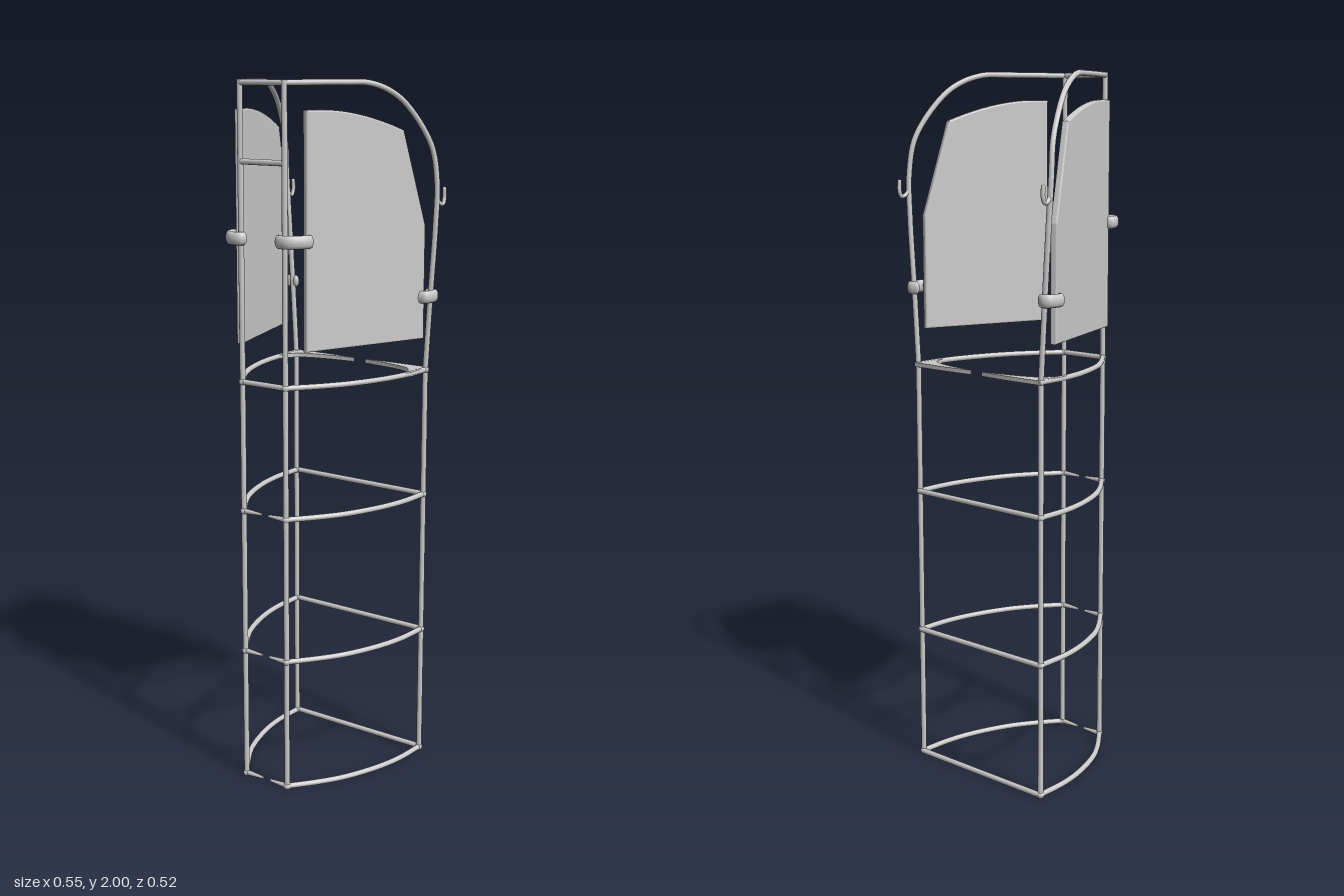
import * as THREE from 'three';

const R = 0.008;
const mat = new THREE.MeshStandardMaterial({ color: 0xcccccc });

export function createModel() {
  const model = new THREE.Group();
  model.name = 'wireStand';

  const add = (name, geometry, parent = model) => {
    const mesh = new THREE.Mesh(geometry, mat);
    mesh.name = name;
    parent.add(mesh);
    return mesh;
  };
  const vecs = (pts) => pts.map((p) => new THREE.Vector3(...p));

  // Smooth bent rod with rounded ends
  const rod = (name, pts, r = R, segments = 40) => {
    const group = new THREE.Group();
    group.name = name;
    const v = vecs(pts);
    add(name + 'Bar', new THREE.TubeGeometry(new THREE.CatmullRomCurve3(v), segments, r, 12), group);
    for (const end of [v[0], v[v.length - 1]]) {
      add(name + 'End', new THREE.SphereGeometry(r, 12, 8), group).position.copy(end);
    }
    model.add(group);
    return group;
  };

  // Straight bar, optionally tapered towards b
  const bar = (name, a, b, ra = R, rb = ra) => {
    const [p, q] = vecs([a, b]);
    const d = q.clone().sub(p);
    const mesh = add(name, new THREE.CylinderGeometry(rb, ra, d.length(), 12));
    mesh.position.copy(p).addScaledVector(d, 0.5);
    mesh.quaternion.setFromUnitVectors(new THREE.Vector3(0, 1, 0), d.normalize());
    return mesh;
  };

  const levels = [R, 0.39, 0.81, 1.182];
  const topLevel = levels[3];

  for (const s of [1, -1]) {
    const side = s > 0 ? 'left' : 'right';

    // Front upright
    bar(side + 'FrontUpright', [s * 0.075, 0, 0.23], [s * 0.075, 2, 0.23]);

    // Rear upright, leaning out and bending over into the top rail
    bar(side + 'RearUpright', [s * 0.234, 0, -0.222], [s * 0.234, topLevel, -0.222]);
    rod(side + 'TopHoop', [
      [0.234, topLevel, -0.222], [0.247, 1.4, -0.222], [0.26, 1.6, -0.222], [0.265, 1.72, -0.218],
      [0.256, 1.82, -0.2], [0.224, 1.93, -0.125], [0.202, 1.97, -0.07], [0.176, 1.99, -0.01],
      [0.15, 1.992, 0.053], [0.075, 1.992, 0.23],
    ].map(([x, y, z]) => [s * x, y, z]), R, 90);

    // Bowed side rails, one per level
    for (const y of levels) {
      rod(side + 'SideRail', [
        [0.234, -0.222], [0.231, -0.12], [0.214, -0.03], [0.172, 0.085], [0.127, 0.16], [0.075, 0.23],
      ].map(([x, z]) => [s * x, y, z]));

      // Small weld collars at the posts
      for (const [x, z] of [[0.234, -0.222], [0.075, 0.23]]) {
        add(side + 'Weld', new THREE.SphereGeometry(R * 1.35, 12, 8)).position.set(s * x, y, z);
      }
    }

    // Tapered front stubs that stop short of the middle
    for (const y of levels.slice(0, 3)) {
      bar(side + 'FrontStub', [s * 0.075, y, 0.23], [s * 0.014, y, 0.23], R, R * 0.5);
    }

    // Tapered corner gusset behind the highest shelf ring
    const gusset = new THREE.Shape();
    gusset.moveTo(s * 0.02, -0.228);
    gusset.quadraticCurveTo(s * 0.08, -0.235, s * 0.14, -0.235);
    gusset.lineTo(s * 0.238, -0.235);
    gusset.lineTo(s * 0.24, -0.14);
    gusset.lineTo(s * 0.233, -0.1);
    gusset.quadraticCurveTo(s * 0.222, -0.17, s * 0.19, -0.19);
    gusset.quadraticCurveTo(s * 0.15, -0.212, s * 0.02, -0.226);
    const gussetGeo = new THREE.ExtrudeGeometry(gusset, { depth: 0.012, bevelEnabled: false, curveSegments: 10 });
    gussetGeo.rotateX(Math.PI / 2);
    add(side + 'RearGusset', gussetGeo).position.y = topLevel + 0.006;

    // Flat side panel with arched top and slanted rear edge
    const front = new THREE.Vector2(0.115, 0.188);
    const rear = new THREE.Vector2(0.243, -0.18);
    const w = front.distanceTo(rear);
    const panel = new THREE.Shape();
    panel.moveTo(0, 1.285);
    panel.lineTo(w, 1.285);
    panel.lineTo(w, 1.6);
    panel.lineTo(w * 0.8, 1.86);
    panel.bezierCurveTo(w * 0.6, 1.89, w * 0.35, 1.917, 0.04, 1.917);
    panel.lineTo(0, 1.917);
    const panelGeo = new THREE.ExtrudeGeometry(panel, {
      depth: 0.01, bevelThickness: 0.005, bevelSize: 0.005, bevelSegments: 3, curveSegments: 16,
    });
    panelGeo.translate(0, 0, -0.005);
    const panelMesh = add(side + 'Panel', panelGeo);
    const angle = Math.atan2(front.y - rear.y, rear.x - front.x);
    panelMesh.rotation.y = s > 0 ? angle : Math.PI - angle;
    panelMesh.position.set(s * front.x, 0, front.y);

    // Strap clips joining the panel to the uprights
    const clip = (name, y, pts) => {
      const g = rod(name, pts.map(([x, z]) => [s * x, 0, z]), 0.009, 32);
      g.scale.y = 2;
      g.position.y = y;
    };
    clip(side + 'FrontClip', 1.58, [
      [0.118, 0.186], [0.132, 0.193], [0.13, 0.208], [0.112, 0.238], [0.092, 0.25], [0.066, 0.247], [0.06, 0.238],
    ]);
    clip(side + 'RearClip', 1.4, [
      [0.236, -0.224], [0.25, -0.229], [0.263, -0.222], [0.267, -0.198], [0.263, -0.174], [0.245, -0.168],
    ]);

    // Small upturned hook on the back
    rod(side + 'Hook', [
      [0.263, 1.675, -0.22], [0.266, 1.66, -0.232], [0.268, 1.657, -0.246], [0.268, 1.67, -0.253], [0.268, 1.698, -0.253],
    ].map(([x, y, z]) => [s * x, y, z]), 0.006, 24);
  }

  // Straight cross bars between the two sides
  for (const y of levels.slice(0, 3)) {
    bar('rearCrossBar', [-0.234, y, -0.226], [0.234, y, -0.226]);
  }
  for (const y of [topLevel, 1.785, 1.992]) {
    bar('frontCrossBar', [-0.075, y, 0.23], [0.075, y, 0.23]);
  }

  return model;
}
